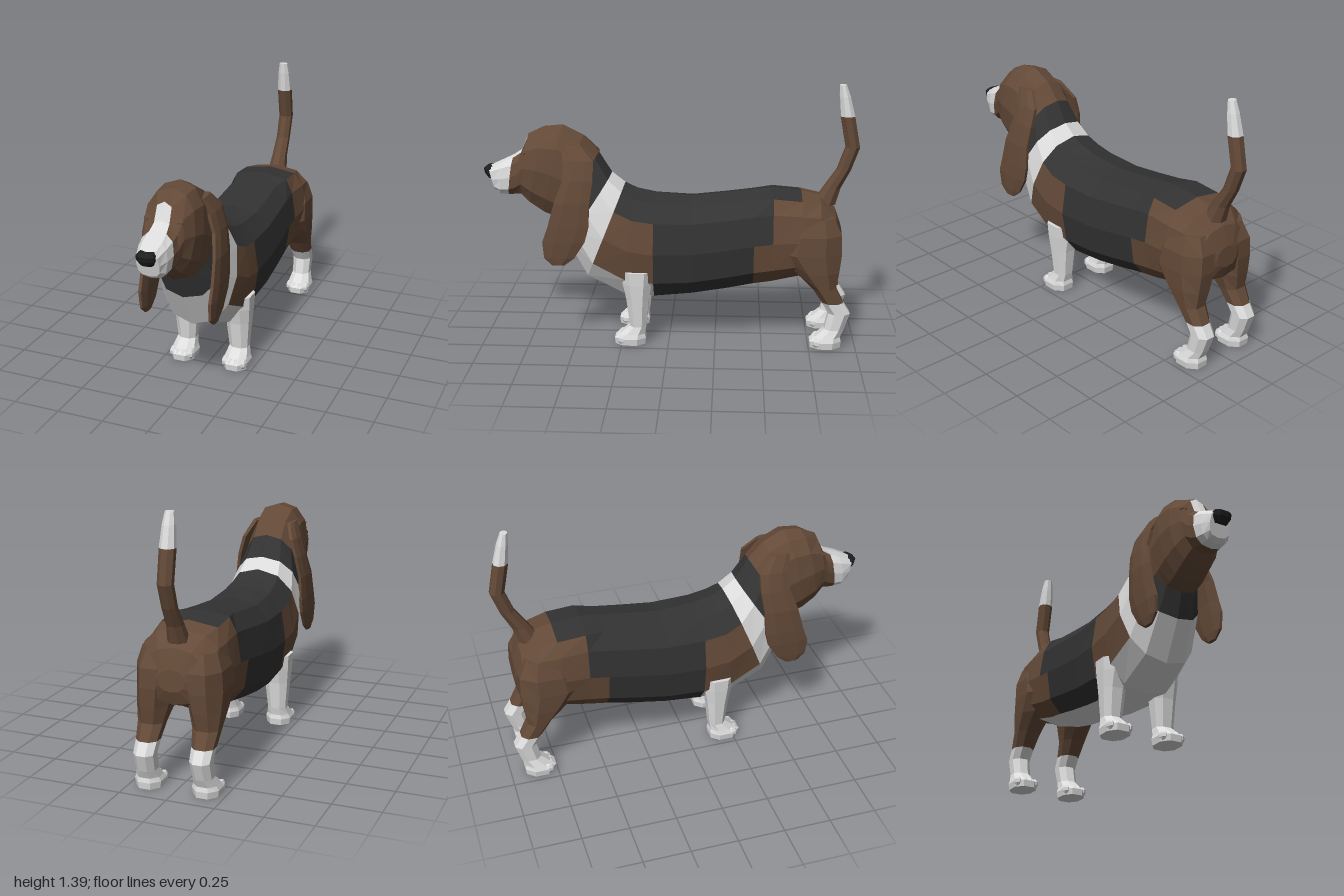
import * as THREE from 'three';

const mat = (name, color) => {
  const m = new THREE.MeshStandardMaterial({ color });
  m.name = name;
  return m;
};

// Signed power: below 1 it makes an ellipse squarer
const pw = (v, k) => (Math.abs(v) < 1e-6 ? 0 : Math.sign(v) * Math.abs(v) ** k);

// Ring across the body, from its top and bottom points in (z, y); ridge sets the width of the top strip
function bodyRing([tz, ty, bz, by, hw, k, ridge], n = 12) {
  return Array.from({ length: n }, (_, j) => {
    const a = (j / n) * Math.PI * 2, c = pw(Math.cos(a), k), s = pw(Math.sin(a), k);
    const x = ridge && (j === 1 || j === n - 1) ? ridge * Math.sign(s) : hw * s;
    return [x, (ty + by) / 2 + (c * (ty - by)) / 2, (tz + bz) / 2 + (c * (tz - bz)) / 2];
  });
}

// Level ring for upright parts: height, centre and half sizes
function levelRing([y, x, z, rx, rz], side, n, k) {
  const fit = 1 / pw(Math.cos(Math.PI / n), k);
  return Array.from({ length: n }, (_, j) => {
    const a = ((j + 0.5) / n) * Math.PI * 2;
    return [x * side + fit * rx * pw(Math.sin(a), k), y, z - fit * rz * pw(Math.cos(a), k)];
  });
}

// Faceted skin over rings, closed at both ends; paint(row, column) picks the material
function loft(name, rings, materials, paint = () => 0) {
  const buckets = materials.map(() => []);
  const n = rings[0].length, last = rings.length - 1;
  const tri = (m, ...pts) => pts.forEach((p) => buckets[m].push(...p));
  const mid = (r) => [0, 1, 2].map((d) => r.reduce((t, p) => t + p[d], 0) / n);
  for (let j = 0; j < n; j++) {
    const q = (j + 1) % n;
    for (let i = 0; i < last; i++) {
      const a = rings[i], b = rings[i + 1], m = paint(i, j);
      tri(m, a[j], b[j], b[q]);
      tri(m, a[j], b[q], a[q]);
    }
    tri(paint(0, j), mid(rings[0]), rings[0][j], rings[0][q]);
    tri(paint(last - 1, j), mid(rings[last]), rings[last][q], rings[last][j]);
  }
  const geo = new THREE.BufferGeometry();
  geo.setAttribute('position', new THREE.Float32BufferAttribute(buckets.flat(), 3));
  let start = 0;
  buckets.forEach((b, m) => {
    if (b.length) geo.addGroup(start, b.length / 3, m);
    start += b.length / 3;
  });
  geo.computeVertexNormals();
  const mesh = new THREE.Mesh(geo, materials);
  mesh.name = name;
  return mesh;
}

export function createModel() {
  const brown = mat('brown fur', 0x644a38);
  const black = mat('black fur', 0x333333);
  const white = mat('white fur', 0xdcdcdc);
  const dark = mat('nose and eyes', 0x1e1e1e);
  const fur = [brown, black, white];
  const B = 0, K = 1, W = 2;
  const dog = new THREE.Group();
  dog.name = 'dog';

  // Body, neck and head, from rump to muzzle: top z, y, bottom z, y, half width, squareness, ridge
  const sections = [
    [-0.915, 0.63, -0.92, 0.52, 0.07, 0.9],
    [-0.88, 0.73, -0.895, 0.45, 0.16, 0.85],
    [-0.8, 0.8, -0.79, 0.41, 0.215, 0.75],
    [-0.7, 0.82, -0.7, 0.365, 0.222, 0.75, 0.15],
    [-0.55, 0.835, -0.55, 0.325, 0.21, 0.75, 0.15],
    [-0.45, 0.825, -0.45, 0.31, 0.212, 0.75],
    [-0.3, 0.805, -0.3, 0.28, 0.217, 0.75],
    [-0.12, 0.785, -0.12, 0.25, 0.221, 0.75],
    [0.08, 0.8, 0.08, 0.225, 0.222, 0.8],
    [0.18, 0.825, 0.25, 0.235, 0.222, 0.85],
    [0.24, 0.855, 0.45, 0.33, 0.207, 0.88],
    [0.31, 0.91, 0.56, 0.53, 0.18, 0.85],
    [0.38, 1.02, 0.6, 0.66, 0.145, 0.85],
    [0.46, 1.11, 0.63, 0.66, 0.145, 0.85],
    [0.57, 1.165, 0.68, 0.68, 0.147, 0.85],
    [0.67, 1.155, 0.75, 0.73, 0.138, 0.85],
    [0.755, 1.115, 0.8, 0.78, 0.112, 0.9, 0.038],
    [0.79, 1.03, 0.84, 0.78, 0.097, 0.8, 0.04],
    [0.835, 1.0, 0.865, 0.78, 0.088, 0.75, 0.045],
    [0.895, 0.972, 0.91, 0.785, 0.08, 0.7],
    [0.97, 0.937, 0.935, 0.805, 0.06, 0.7],
  ];
  const coat = (i, j) => {
    const s = Math.min(j, 11 - j); // 0 along the spine, 5 along the belly
    if (i < 3) return B;
    if (i < 8 && s === 5) return W;
    if (i === 3) return s === 0 ? K : B;
    if (i === 4) return s < 3 ? K : B;
    if (i < 8) return K;
    if (i < 10) return s < 2 ? K : s < 4 ? B : W;
    if (i === 10) return W;
    if (i === 11) return K;
    if (i < 16) return B;
    return i > 17 || s === 0 ? W : B;
  };
  dog.add(loft('body and head', sections.map((s) => bodyRing(s)), fur, coat));

  // Upright parts, listed from the bottom: y, x, z, half width, half length
  const upright = (name, rows, side, n, k, paint) =>
    dog.add(loft(name, rows.map((r) => levelRing(r, side, n, k)), fur, paint));

  // Tail with a white tip
  upright('tail', [
    [0.75, 0, -0.82, 0.05, 0.06], [0.84, 0, -0.86, 0.04, 0.045], [0.94, 0, -0.92, 0.036, 0.037],
    [1.06, 0, -0.962, 0.037, 0.037], [1.225, 0, -0.93, 0.038, 0.037],
    [1.33, 0, -0.912, 0.031, 0.028], [1.39, 0, -0.9, 0.022, 0.018],
  ], 1, 8, 1, (i) => (i >= 4 ? W : B));

  const ball = (name, material, x, y, z, sx, sy, sz) => {
    const geo = new THREE.SphereGeometry(1, 8, 5).toNonIndexed();
    geo.scale(sx, sy, sz);
    geo.computeVertexNormals();
    const m = new THREE.Mesh(geo, material);
    m.name = name;
    m.position.set(x, y, z);
    dog.add(m);
  };

  // Paw rows around a leg standing at z, then its toes
  const pawRows = (z) => [
    [0, 0.153, z, 0.066, 0.08], [0.035, 0.153, z, 0.071, 0.084],
    [0.058, 0.153, z - 0.012, 0.062, 0.066],
  ];
  const toes = (name, side, z) => {
    for (const t of [-1.5, -0.5, 0.5, 1.5]) {
      ball(name, white, side * 0.153 + t * 0.034, 0.032, z + 0.05 - Math.abs(t) * 0.01, 0.021, 0.03, 0.036);
    }
  };

  for (const side of [1, -1]) {
    const label = side > 0 ? 'left' : 'right';
    upright(`${label} front leg`, [
      ...pawRows(0.205),
      [0.1, 0.152, 0.163, 0.051, 0.044], [0.25, 0.15, 0.165, 0.064, 0.06],
      [0.34, 0.142, 0.167, 0.079, 0.078], [0.41, 0.132, 0.167, 0.092, 0.087],
    ], side, 8, 0.85, () => W);
    toes(`${label} front toe`, side, 0.205);

    upright(`${label} hind leg`, [
      ...pawRows(-0.84),
      [0.1, 0.15, -0.885, 0.05, 0.052], [0.19, 0.148, -0.91, 0.053, 0.057],
      [0.25, 0.147, -0.873, 0.056, 0.056], [0.33, 0.145, -0.826, 0.067, 0.062],
      [0.42, 0.138, -0.787, 0.084, 0.115], [0.52, 0.13, -0.748, 0.097, 0.165],
      [0.62, 0.125, -0.76, 0.098, 0.15], [0.71, 0.11, -0.77, 0.085, 0.1],
    ], side, 8, 0.9, (i) => (i >= 5 ? B : W));
    toes(`${label} hind toe`, side, -0.84);

    // Long hanging ear, lying flush with the skull at its top
    upright(`${label} ear`, [
      [0.44, 0.186, 0.585, 0.01, 0.033], [0.48, 0.187, 0.58, 0.014, 0.08],
      [0.57, 0.19, 0.555, 0.017, 0.112], [0.65, 0.191, 0.53, 0.017, 0.108],
      [0.78, 0.187, 0.508, 0.017, 0.094], [0.9, 0.167, 0.476, 0.019, 0.08],
      [1.0, 0.139, 0.475, 0.02, 0.08], [1.08, 0.1, 0.52, 0.02, 0.055],
    ], side, 8, 0.85);

    // Eye under a heavy lid
    ball(`${label} eye`, dark, side * 0.078, 1.012, 0.768, 0.02, 0.012, 0.016);
    ball(`${label} eyelid`, brown, side * 0.08, 1.026, 0.763, 0.028, 0.013, 0.019);
  }

  // Nose: bottom to top
  dog.add(loft('nose', [
    [0.872, 0, 0.952, 0.032, 0.024], [0.9, 0, 0.962, 0.047, 0.031],
    [0.925, 0, 0.966, 0.047, 0.033], [0.94, 0, 0.957, 0.036, 0.022],
  ].map((r) => levelRing(r, 1, 8, 0.8)), [dark]));

  return dog;
}
